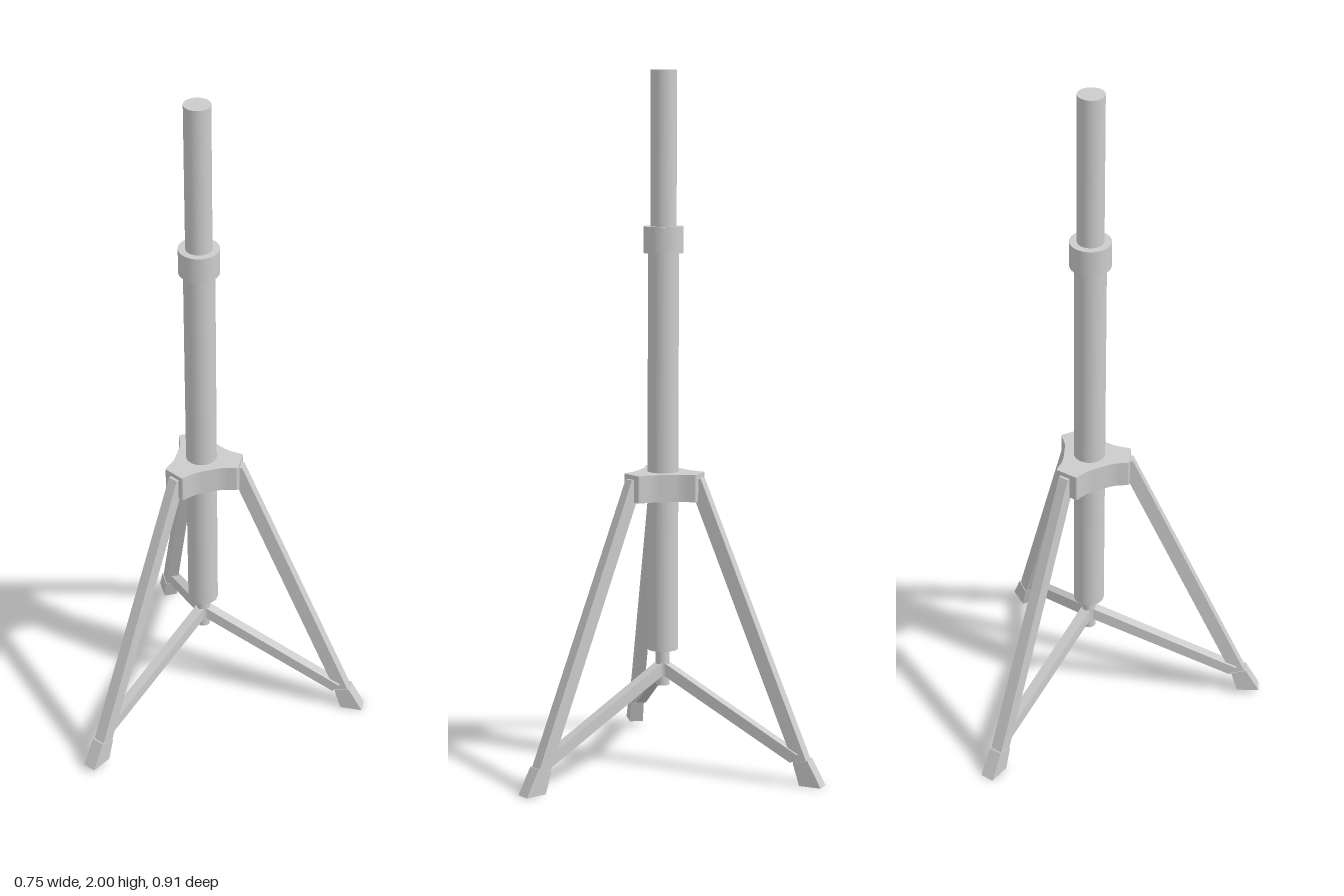
import * as THREE from 'three';

const material = new THREE.MeshStandardMaterial({ color: 0xcccccc });

function addMesh(parent, name, geometry) {
  const mesh = new THREE.Mesh(geometry, material);
  mesh.name = name;
  parent.add(mesh);
  return mesh;
}

// Vertical cylinder between two heights
function addTube(parent, name, radius, y0, y1) {
  const mesh = addMesh(parent, name, new THREE.CylinderGeometry(radius, radius, y1 - y0, 32));
  mesh.position.y = (y0 + y1) / 2;
}

// Side outline in (radius, height) given a thickness, tapering from bottom to top
function slab(points, bottomWidth, topWidth = bottomWidth) {
  const shape = new THREE.Shape(points.map(([r, y]) => new THREE.Vector2(r, y)));
  const geometry = new THREE.ExtrudeGeometry(shape, { depth: 1, bevelEnabled: false });
  geometry.translate(0, 0, -0.5);
  const heights = points.map((p) => p[1]);
  const low = Math.min(...heights), high = Math.max(...heights);
  const pos = geometry.attributes.position;
  for (let i = 0; i < pos.count; i++) {
    const t = (pos.getY(i) - low) / (high - low);
    pos.setZ(i, pos.getZ(i) * THREE.MathUtils.lerp(bottomWidth, topWidth, t));
  }
  geometry.computeVertexNormals();
  return geometry;
}

// Three-armed bracket with rounded corners
function hubGeometry() {
  const corners = [];
  for (let i = 0; i < 3; i++) {
    for (const [r, t] of [[0.07, -0.042], [0.115, -0.034], [0.115, 0.034], [0.07, 0.042]]) {
      corners.push(new THREE.Vector2(r, t).rotateAround(new THREE.Vector2(), (i * Math.PI * 2) / 3));
    }
  }
  const shape = new THREE.Shape();
  corners.forEach((c, i) => {
    const prev = corners[(i + 11) % 12], next = corners[(i + 1) % 12];
    const cut = i % 4 === 0 || i % 4 === 3 ? 0.018 : 0.006;
    const a = c.clone().add(prev.clone().sub(c).setLength(cut));
    const b = c.clone().add(next.clone().sub(c).setLength(cut));
    if (i === 0) shape.moveTo(a.x, a.y);
    else shape.lineTo(a.x, a.y);
    shape.quadraticCurveTo(c.x, c.y, b.x, b.y);
  });
  shape.closePath();
  const geometry = new THREE.ExtrudeGeometry(shape, { depth: 0.078, bevelEnabled: false, curveSegments: 6 });
  return geometry.rotateX(-Math.PI / 2);
}

export function createModel() {
  const model = new THREE.Group();
  model.name = 'tripodStand';
  const stand = new THREE.Group();
  stand.name = 'stand';
  stand.position.set(-0.119, 0, -0.01);
  model.add(stand);

  // Telescoping pole
  addTube(stand, 'lowerRod', 0.02, 0.245, 0.36);
  addTube(stand, 'mainTube', 0.044, 0.35, 1.5);
  addTube(stand, 'collar', 0.057, 1.49, 1.565);
  addTube(stand, 'innerTube', 0.037, 1.5, 2);

  // Hub
  addMesh(stand, 'hub', hubGeometry()).position.y = 0.79;

  // Legs: direction, extra reach and lift of each foot
  const legs = [[0, 0, 0], [118, 0.017, 0.015], [-117.8, 0, 0]];
  legs.forEach(([degrees, reach, lift]) => {
    const leg = new THREE.Group();
    leg.name = 'legAssembly';
    leg.rotation.y = -THREE.MathUtils.degToRad(degrees);
    stand.add(leg);
    const low = (r, y) => [r + reach, y + lift];

    addMesh(leg, 'leg', slab([low(0.413, 0.06), low(0.455, 0.06), [0.123, 0.855], [0.08, 0.855]], 0.036, 0.029));
    addMesh(leg, 'foot', slab([low(0.43, 0), low(0.495, 0), low(0.454, 0.075), low(0.41, 0.065)], 0.04));

    // Strut to the lower rod, slightly turned from the leg
    const strut = addMesh(leg, 'strut', slab([[0, 0.28], low(0.405, 0.065), low(0.425, 0.09), [0, 0.318]], 0.03));
    strut.rotation.y = -0.024;
  });
  return model;
}
